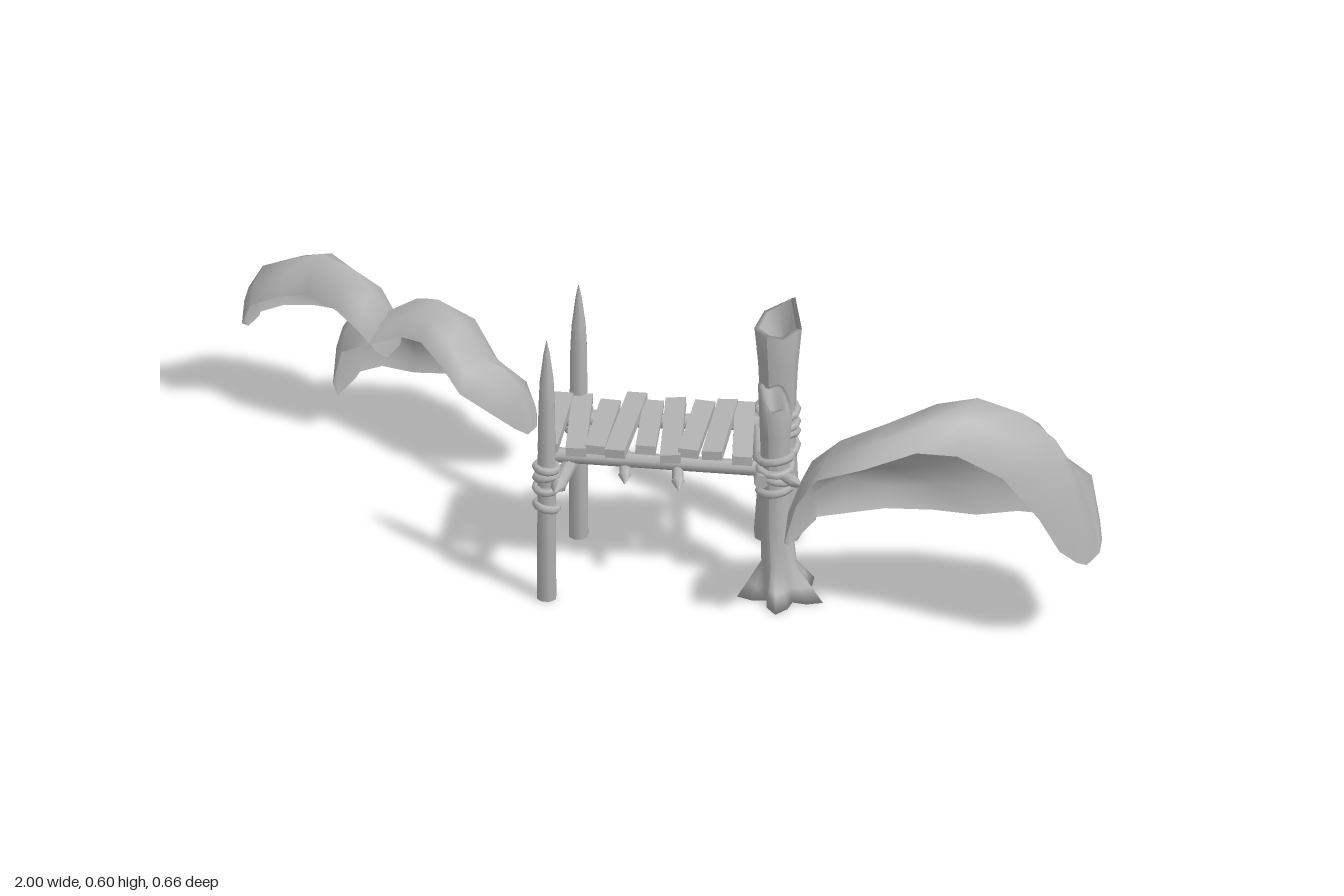
import * as THREE from 'three';

const grey = new THREE.MeshStandardMaterial({ color: 0xb3b3b3, side: THREE.DoubleSide });
grey.name = 'plain grey';

const V = (x, y, z) => new THREE.Vector3(x, y, z);

function add(parent, geometry, name) {
  const mesh = new THREE.Mesh(geometry, grey);
  mesh.name = name;
  parent.add(mesh);
  return mesh;
}

// Log between two points
function log(parent, a, b, r0, r1, name, sides = 8) {
  const mesh = add(parent, new THREE.CylinderGeometry(r1, r0, a.distanceTo(b), sides), name);
  mesh.position.copy(a).add(b).multiplyScalar(0.5);
  mesh.quaternion.setFromUnitVectors(V(0, 1, 0), b.clone().sub(a).normalize());
}

// Log with a pointed far end
function stake(parent, a, b, r, tip, name) {
  log(parent, a, b, r, r, name);
  const dir = b.clone().sub(a).normalize();
  log(parent, b, b.clone().addScaledVector(dir, tip), r * 1.15, 0.001, name + 'Point', 6);
}

// Turned post whose vertices are then moved by a rule
function post(parent, profile, sides, x, z, name, rule) {
  const g = new THREE.LatheGeometry(profile.map(([r, y]) => new THREE.Vector2(r, y)), sides);
  if (rule) {
    const p = g.attributes.position;
    const v = V(0, 0, 0);
    for (let i = 0; i < p.count; i++) {
      v.fromBufferAttribute(p, i);
      rule(v, Math.atan2(v.z, v.x));
      p.setXYZ(i, v.x, v.y, v.z);
    }
    g.computeVertexNormals();
  }
  add(parent, g, name).position.set(x, 0, z);
}

// Rope loops round a post
function ropes(parent, x, z, r, heights) {
  heights.forEach((y, i) => {
    const ring = add(parent, new THREE.TorusGeometry(r, 0.009, 6, 12), 'ropeLoop');
    ring.position.set(x, y, z);
    ring.rotation.set(Math.PI / 2 + 0.22 * Math.sin(i * 2.3 + x * 9), 0.2 * Math.cos(i * 1.9 + z * 9), 0);
  });
}

// Hollow leafy shell, open at the front. Columns: x, back z, front z, top y, rim y.
// The cross-section blends from the first one at the right end to the second at the left end.
function leafShell(parent, base, columns, first, second, name) {
  const pos = [], index = [];
  const rows = first.length + 2, last = columns.length - 1;
  columns.forEach(([x, zb, zf, top, rim], i) => {
    const w = zf - zb, h = top - base;
    first.forEach(([u0, v0], j) => {
      const u = THREE.MathUtils.lerp(u0, second[j][0], i / last);
      const v = THREE.MathUtils.lerp(v0, second[j][1], i / last);
      const puff = j > 1 && j < 5 ? 0.009 * Math.sin(i * 2.1 + j * 1.7) * Math.min(1, h * 6) : 0;
      pos.push(x, base + v * h + puff, zb + u * w - puff);
    });
    pos.push(x, top + (rim - top) * 0.3, zb + 0.88 * w);
    pos.push(x, rim, zf);
  });
  for (let i = 0; i < last; i++) {
    for (let j = 0; j < rows - 1; j++) {
      const a = i * rows + j, b = a + rows;
      index.push(a, a + 1, b, b, a + 1, b + 1);
    }
  }
  const g = new THREE.BufferGeometry();
  g.setAttribute('position', new THREE.Float32BufferAttribute(pos, 3));
  g.setIndex(index);
  g.computeVertexNormals();
  add(parent, g, name);
}

function buildPosts(group) {
  // Two sharpened poles
  const pole = (top) => [[0, 0.003], [0.021, 0.003], [0.02, 0.28], [0.018, 0.45], [0.015, top - 0.09], [0.007, top - 0.03], [0.001, top]];
  post(group, pole(0.592), 8, -0.16, 0.025, 'sharpPole');
  post(group, pole(0.606), 8, -0.1, 0.29, 'sharpPole');
  ropes(group, -0.16, 0.025, 0.022, [0.255, 0.28, 0.305]);
  ropes(group, -0.1, 0.29, 0.022, [0.22, 0.265, 0.29, 0.31]);

  // Hollow broken trunk with one tall splinter
  post(group, [[0, 0.006], [0.051, 0.006], [0.042, 0.14], [0.036, 0.27], [0.042, 0.4], [0.05, 0.49], [0.038, 0.491], [0.026, 0.43], [0, 0.42]],
    9, 0.205, -0.162, 'hollowTrunk', (v, a) => {
      if (v.y > 0.48) v.y += 0.05 * Math.pow(Math.max(0, -Math.sin(a)), 3) + 0.012 * Math.sin(a * 4);
    });
  ropes(group, 0.205, -0.162, 0.04, [0.21, 0.245, 0.275, 0.3]);

  // Rooted stump with a slanted broken top
  post(group, [[0, 0.006], [0.05, 0.003], [0.046, 0.035], [0.037, 0.075], [0.032, 0.18], [0.029, 0.28], [0.032, 0.38], [0.036, 0.455], [0.026, 0.455], [0.018, 0.41], [0, 0.4]],
    20, 0.325, 0.055, 'rootedStump', (v, a) => {
      if (v.y < 0.06) {
        const flare = 1 + (1 - v.y / 0.08) * (0.42 + 0.5 * Math.cos(a * 5));
        v.x *= flare;
        v.z *= flare;
      }
      if (v.y > 0.44) v.y += -0.026 * Math.cos(a) + 0.012 * Math.sin(a * 3);
      v.x -= 0.016 * Math.sin(Math.min(1, v.y / 0.25) * Math.PI / 2);
    });
  ropes(group, 0.309, 0.055, 0.034, [0.25, 0.275, 0.3, 0.32]);
}

function buildDeck(group) {
  // Uneven planks running between the two deck edges
  const back = [V(-0.182, 0.332, 0.05), V(0.166, 0.324, -0.106)];
  const front = [V(-0.115, 0.332, 0.255), V(0.247, 0.324, 0.1)];
  const count = 9;
  for (let i = 0; i < count; i++) {
    const t = i / (count - 1);
    const wobble = Math.sin(i * 2.7);
    const a = back[0].clone().lerp(back[1], t);
    const b = front[0].clone().lerp(front[1], t);
    const dir = b.clone().sub(a);
    const plank = add(group, new THREE.BoxGeometry(0.042, 0.02, dir.length() * (1.02 + 0.06 * wobble)), 'plank');
    plank.position.copy(a).add(b).multiplyScalar(0.5);
    plank.position.y += 0.004 * Math.cos(i * 1.9);
    plank.rotation.set(0.04 * wobble, Math.atan2(dir.x, dir.z) + 0.08 * Math.sin(i * 1.7), 0.18 * Math.sin(i * 3.1));
  }

  // Long beams under the planks
  log(group, V(-0.175, 0.3, 0.075), V(0.2, 0.295, -0.1), 0.016, 0.016, 'longBeam');
  log(group, V(-0.135, 0.3, 0.225), V(0.295, 0.29, 0.06), 0.016, 0.016, 'longBeam');

  // Cross logs lashed to the posts
  stake(group, V(-0.135, 0.278, 0.0), V(-0.07, 0.278, 0.295), 0.016, 0.035, 'crossLog');
  log(group, V(0.155, 0.285, -0.17), V(0.3, 0.28, 0.1), 0.016, 0.016, 'crossLog');

  // Short stakes poking out below the front edge
  stake(group, V(0.0, 0.29, 0.13), V(0.03, 0.275, 0.19), 0.012, 0.03, 'shortStake');
  stake(group, V(0.105, 0.29, 0.1), V(0.14, 0.275, 0.165), 0.012, 0.03, 'shortStake');
  stake(group, V(0.31, 0.29, 0.06), V(0.36, 0.285, 0.075), 0.012, 0.03, 'shortStake');
}

export function createModel() {
  const model = new THREE.Group();
  model.name = 'woodenPlatformWithFoliage';
  const platform = new THREE.Group();
  platform.name = 'platform';
  model.add(platform);
  buildPosts(platform);
  buildDeck(platform);

  const upright = [[0.05, 0], [0, 0.14], [0.04, 0.38], [0.2, 0.6], [0.38, 0.85], [0.65, 1]];
  const leaning = [[0.1, 0], [0, 0.19], [0.1, 0.37], [0.32, 0.52], [0.5, 0.78], [0.72, 1]];

  // Large leafy shell
  leafShell(model, 0.21, [
    [0.415, 0.08, 0.2, 0.21, 0.21], [0.41, 0.06, 0.215, 0.31, 0.22], [0.45, 0.02, 0.24, 0.4, 0.33],
    [0.52, -0.05, 0.285, 0.47, 0.43], [0.61, -0.09, 0.25, 0.515, 0.46], [0.7, -0.11, 0.185, 0.56, 0.49],
    [0.77, -0.165, 0.135, 0.567, 0.475], [0.86, -0.19, 0.105, 0.54, 0.43], [0.93, -0.175, 0.08, 0.49, 0.34],
    [0.965, -0.13, 0.055, 0.39, 0.26], [0.99, -0.09, 0.025, 0.29, 0.225], [1, -0.06, 0, 0.21, 0.21],
  ], upright, leaning, 'largeFoliage');

  // Middle leafy shell
  leafShell(model, 0.095, [
    [-0.795, -0.21, -0.13, 0.095, 0.095], [-0.8, -0.25, -0.12, 0.24, 0.13], [-0.77, -0.295, -0.1, 0.29, 0.22],
    [-0.7, -0.3, -0.09, 0.3, 0.26], [-0.64, -0.325, -0.115, 0.335, 0.28], [-0.59, -0.33, -0.105, 0.347, 0.285],
    [-0.53, -0.318, -0.085, 0.32, 0.25], [-0.48, -0.275, -0.065, 0.265, 0.21], [-0.42, -0.25, -0.085, 0.25, 0.17],
    [-0.385, -0.23, -0.13, 0.18, 0.12], [-0.37, -0.2, -0.16, 0.095, 0.095],
  ], upright, upright, 'middleFoliage');

  // Small leafy shell
  leafShell(model, 0.215, [
    [-0.995, -0.17, -0.12, 0.215, 0.215], [-1, -0.19, -0.1, 0.3, 0.23], [-0.97, -0.24, -0.08, 0.355, 0.29],
    [-0.91, -0.27, -0.09, 0.38, 0.32], [-0.85, -0.275, -0.1, 0.4, 0.335], [-0.77, -0.26, -0.075, 0.4, 0.33],
    [-0.72, -0.24, -0.08, 0.36, 0.29], [-0.69, -0.22, -0.1, 0.3, 0.24], [-0.68, -0.19, -0.13, 0.215, 0.215],
  ], upright, upright, 'smallFoliage');
  return model;
}
